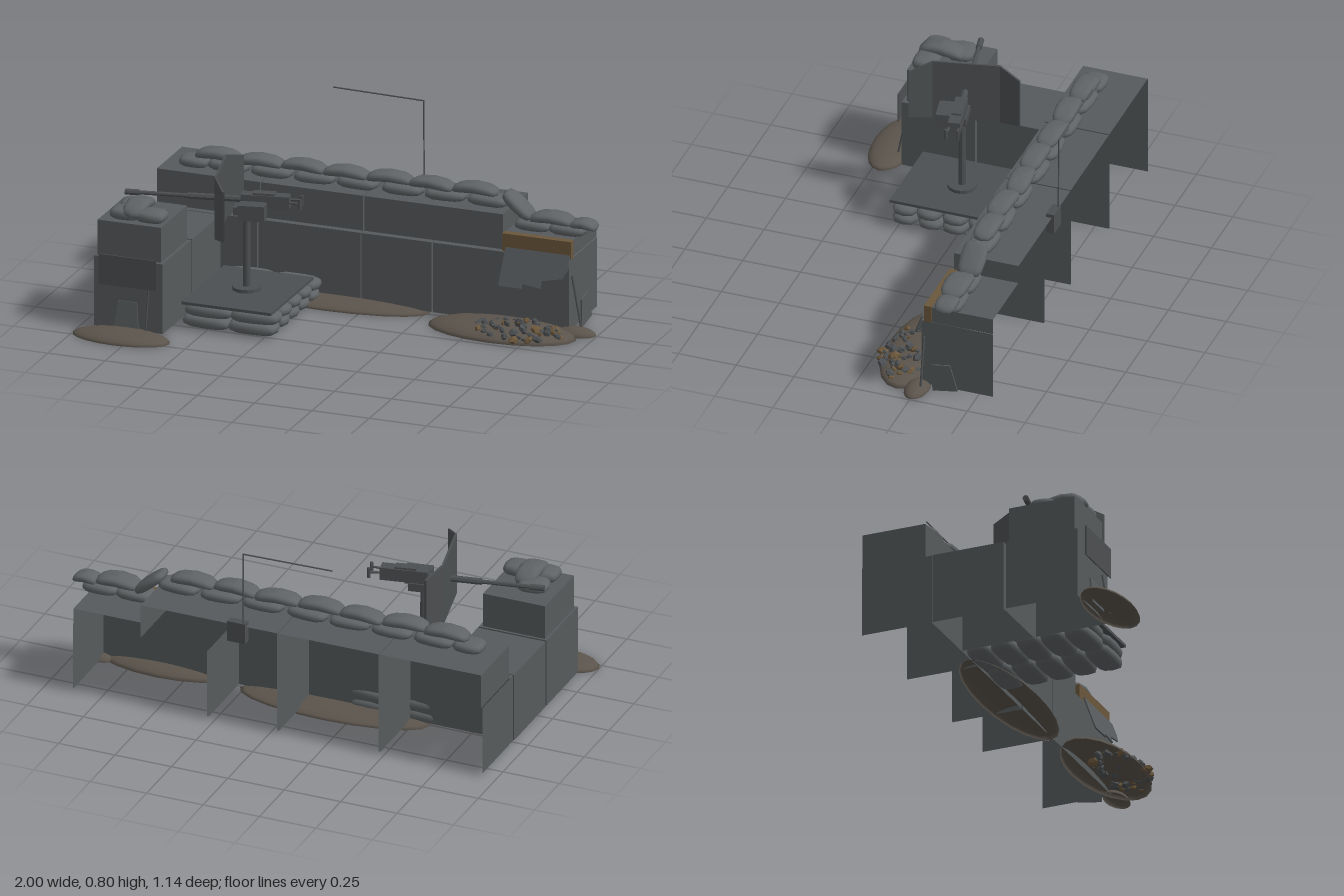
import * as THREE from 'three';

const mat = (color, flat = false) => new THREE.MeshStandardMaterial({ color, flatShading: flat, side: THREE.DoubleSide });
const concrete = mat(0x565a5c), cloth = mat(0x5f6365), metal = mat(0x4c4f51, true);
const dirt = mat(0x5b544c), broken = mat(0x6b573c, true);

let seed = 7;
const rnd = () => (seed = (seed * 16807) % 2147483647) / 2147483647;

function add(parent, name, geo, material, x = 0, y = 0, z = 0) {
  const m = new THREE.Mesh(geo, material);
  m.name = name;
  m.position.set(x, y, z);
  parent.add(m);
  return m;
}

// Box given by its limits
function block(parent, name, [x0, x1], [y0, y1], [z0, z1], material = metal) {
  return add(parent, name, new THREE.BoxGeometry(x1 - x0, y1 - y0, z1 - z0), material,
    (x0 + x1) / 2, (y0 + y1) / 2, (z0 + z1) / 2);
}

// Hollow box built of single walls; faces lists which walls exist
function shell(parent, name, [x0, x1], [y0, y1], [z0, z1], faces) {
  const g = new THREE.Group();
  g.name = name;
  const cx = (x0 + x1) / 2, cy = (y0 + y1) / 2, cz = (z0 + z1) / 2;
  const w = x1 - x0, h = y1 - y0, d = z1 - z0;
  const walls = {
    front: [w, h, cx, cy, z1, 0, 0], back: [w, h, cx, cy, z0, 0, Math.PI],
    left: [d, h, x1, cy, cz, 0, Math.PI / 2], right: [d, h, x0, cy, cz, 0, -Math.PI / 2],
    top: [w, d, cx, y1, cz, -Math.PI / 2, 0],
  };
  for (const f of faces) {
    const [a, b, x, y, z, rx, ry] = walls[f];
    add(g, f + 'Wall', new THREE.PlaneGeometry(a, b), concrete, x, y, z).rotation.set(rx, ry, 0);
  }
  parent.add(g);
}

// Pillow-shaped bag lying along x, with drooping ends
function bagGeometry(len, h, w, droop = 0) {
  const geo = new THREE.SphereGeometry(1, 12, 8);
  const p = geo.attributes.position;
  const puff = (v, e) => Math.sign(v) * Math.pow(Math.abs(v), e);
  for (let i = 0; i < p.count; i++) {
    const x = puff(p.getX(i), 0.6), y = puff(p.getY(i), 0.75), z = puff(p.getZ(i), 0.6);
    p.setXYZ(i, x * len / 2, y * h / 2 - droop * x * x, z * w / 2);
  }
  geo.computeVertexNormals();
  return geo;
}
function bag(parent, x, y, z, { len = 0.19, h = 0.05, w = 0.11, droop = 0, ry = 0, rz = 0 } = {}) {
  const m = add(parent, 'sandbag', bagGeometry(len, h, w, droop), cloth, x, y, z);
  m.rotation.set(0, ry, rz);
}

function mound(parent, x, z, rx, h, rz) {
  const geo = new THREE.SphereGeometry(1, 20, 5, 0, Math.PI * 2, 0, Math.PI / 2);
  geo.scale(rx, h, rz);
  add(parent, 'dirtMound', geo, dirt, x, 0, z);
}

function rod(parent, name, r, a, b, sides = 8) {
  const from = new THREE.Vector3(...a), to = new THREE.Vector3(...b), dir = to.clone().sub(from);
  const m = add(parent, name, new THREE.CylinderGeometry(r, r, dir.length(), sides), metal);
  m.position.copy(from).add(to).multiplyScalar(0.5);
  m.quaternion.setFromUnitVectors(new THREE.Vector3(0, 1, 0), dir.normalize());
}

function walls(root) {
  const g = new THREE.Group();
  g.name = 'walls';
  // Long wall: lower blocks, open at the back and below
  const e = 0.003, lowX = [-0.94, -0.48, -0.03, 0.28, 0.88];
  for (let i = 0; i < 4; i++) {
    const xs = [lowX[i] + e, lowX[i + 1] - e];
    shell(g, 'lowerWallBlock', xs, [0.01, 0.31], [-0.565, -0.255], ['front', 'left', 'right']);
    shell(g, 'ledge', xs, [0.3, 0.31], [-0.285, -0.255], ['top']);
  }
  // Upper blocks
  const upX = [-0.935, -0.48, -0.03, 0.58];
  for (let i = 0; i < 3; i++)
    shell(g, 'upperWallBlock', [upX[i] + e, upX[i + 1] - e], [0.31, 0.46], [-0.565, -0.285], ['front', 'left', 'right', 'top']);
  // Broken end of the upper row
  shell(g, 'brokenBlock', [0.58, 0.875], [0.31, 0.38], [-0.565, -0.285], ['left', 'top']);
  block(g, 'brokenFace', [0.58, 0.88], [0.31, 0.385], [-0.3, -0.268], broken);
  // Side wing
  const all = ['front', 'back', 'left', 'right', 'top'];
  shell(g, 'wingRearBlock', [-0.94, -0.64], [0.01, 0.31], [-0.25, 0.065], all);
  shell(g, 'wingFrontBlock', [-0.94, -0.64], [0.01, 0.31], [0.075, 0.392], all);
  shell(g, 'wingUpperBlock', [-0.93, -0.655], [0.31, 0.46], [0.085, 0.375], all);
  block(g, 'signPlate', [-0.91, -0.66], [0.2, 0.33], [0.413, 0.418]);
  // Leaning plates at the wing front and the wall end
  const trap = new THREE.Shape([[-0.055, 0], [0.055, 0], [0.04, 0.12], [-0.04, 0.12]].map(v => new THREE.Vector2(...v)));
  const plate = new THREE.ExtrudeGeometry(trap, { depth: 0.006, bevelEnabled: false });
  add(g, 'leaningPlate', plate, concrete, -0.79, 0.015, 0.415).rotation.x = -0.16;
  add(g, 'leaningPlate', plate, concrete, 0.905, 0.015, -0.37).rotation.set(0, Math.PI / 2, 0.16, 'YZX');
  rod(g, 'leaningBar', 0.004, [-0.7, 0.02, 0.43], [-0.7, 0.2, 0.396]);
  rod(g, 'leaningBar', 0.005, [0.925, 0.02, -0.27], [0.885, 0.24, -0.27]);
  // Torn sheet hanging from the broken block
  const torn = new THREE.Shape([[0.59, 0.2], [0.59, 0.17], [0.69, 0.17], [0.69, 0.19], [0.77, 0.18], [0.77, 0.21],
    [0.86, 0.23], [0.88, 0.27], [0.88, 0.33], [0.6, 0.33]].map(([x, y]) => new THREE.Vector2(x, y - 0.33)));
  add(g, 'tornSheet', new THREE.ExtrudeGeometry(torn, { depth: 0.006, bevelEnabled: false }), concrete, 0, 0.33, -0.262).rotation.x = -0.36;
  root.add(g);
}

function wallBags(root) {
  const g = new THREE.Group();
  g.name = 'wallSandbags';
  // Two courses along the long wall
  for (let i = 0; i < 7; i++)
    bag(g, -0.65 + i * 0.187 + (i > 3 ? 0.01 : 0), 0.482, -0.38, { len: 0.18, h: 0.045, ry: 0.06 * (i % 3 - 1) });
  bag(g, -0.8, 0.482, -0.38, { len: 0.13, h: 0.045 });
  for (let i = 0; i < 7; i++)
    bag(g, -0.7 + i * 0.187, 0.527, -0.38 + 0.008 * (i % 2), { len: 0.2, h: 0.04, w: 0.095, droop: 0.016, ry: 0.07 * ((i + 1) % 3 - 1) });
  // Bags falling over the step to the broken end
  bag(g, 0.61, 0.475, -0.38, { len: 0.16, h: 0.045, rz: -0.7 });
  for (const x of [0.68, 0.83]) bag(g, x, 0.403, -0.375, { len: 0.16, h: 0.045 });
  bag(g, 0.76, 0.447, -0.37, { len: 0.19, h: 0.04, droop: 0.016 });
  bag(g, 0.895, 0.435, -0.375, { len: 0.12, h: 0.035, droop: 0.016, w: 0.09 });
  // Bags on the wing
  for (const x of [-0.83, -0.72]) bag(g, x, 0.484, 0.31, { len: 0.13 });
  bag(g, -0.79, 0.515, 0.27, { len: 0.2, h: 0.045, w: 0.1, droop: 0.025, ry: Math.PI / 2 });
  bag(g, -0.83, 0.484, 0.2, { len: 0.13, h: 0.045, ry: 0.15 });
  root.add(g);
}

function platform(root) {
  const g = new THREE.Group();
  g.name = 'gunPlatform';
  block(g, 'platformBoard', [-0.6, -0.21], [0.108, 0.12], [-0.185, 0.285]);
  for (let layer = 0; layer < 2; layer++)
    for (let row = 0; row < 5; row++)
      for (let col = 0; col < 2; col++)
        bag(g, -0.505 + col * 0.2 + layer * 0.01, 0.033 + layer * 0.048, 0.228 - row * 0.109,
          { len: 0.215, h: 0.054, w: 0.112, ry: 0.05 * ((row + col + layer) % 3 - 1) });
  root.add(g);
}

function gun(root) {
  const g = new THREE.Group();
  g.name = 'mountedGun';
  add(g, 'baseFlange', new THREE.CylinderGeometry(0.06, 0.06, 0.015, 14), metal, -0.41, 0.127, 0.045);
  add(g, 'post', new THREE.CylinderGeometry(0.014, 0.016, 0.33, 10), metal, -0.41, 0.295, 0.045);
  // Gun body, barrel towards local -x
  const b = new THREE.Group();
  b.name = 'gunBody';
  b.position.set(-0.41, 0.5, 0.05);
  b.rotation.y = 0.19;
  block(b, 'cradle', [-0.05, 0.06], [-0.055, -0.02], [-0.03, 0.03]);
  block(b, 'receiver', [-0.02, 0.18], [-0.02, 0.035], [-0.025, 0.025]);
  block(b, 'ammoBox', [-0.02, 0.09], [-0.055, 0.01], [0.03, 0.09]);
  block(b, 'feedCover', [0.03, 0.12], [0.03, 0.043], [-0.02, 0.02]);
  rod(b, 'barrelJacket', 0.014, [-0.24, 0.008, 0], [-0.01, 0.008, 0]);
  rod(b, 'barrel', 0.009, [-0.49, 0.008, 0], [-0.23, 0.008, 0]);
  rod(b, 'muzzle', 0.013, [-0.5, 0.008, 0], [-0.44, 0.008, 0]);
  for (const s of [-1, 1]) {
    rod(b, 'handleArm', 0.005, [0.17, 0.01, s * 0.018], [0.225, 0.01, s * 0.025]);
    rod(b, 'grip', 0.007, [0.225, -0.015, s * 0.025], [0.225, 0.03, s * 0.025]);
  }
  g.add(b);
  // Three-panel shield: each column is x, z, bottom, top
  const cols = [[-0.515, -0.168, 0.397, 0.613], [-0.55, -0.07, 0.374, 0.643], [-0.49, 0.2, 0.374, 0.643], [-0.425, 0.28, 0.397, 0.613]];
  const pos = [], idx = [];
  for (const off of [0, 0.01])
    for (const [x, z, y0, y1] of cols) pos.push(x + off, y0, z, x + off, y1, z);
  for (let i = 0; i < 3; i++) {
    const a = i * 2, c = a + 8;
    idx.push(a, a + 2, a + 3, a, a + 3, a + 1, c, c + 3, c + 2, c, c + 1, c + 3);
    idx.push(a + 1, a + 3, c + 3, a + 1, c + 3, c + 1, a, c + 2, a + 2, a, c, c + 2);
  }
  idx.push(0, 1, 9, 0, 9, 8, 6, 15, 7, 6, 14, 15);
  const geo = new THREE.BufferGeometry();
  geo.setAttribute('position', new THREE.Float32BufferAttribute(pos, 3));
  geo.setIndex(idx);
  geo.computeVertexNormals();
  add(g, 'shield', geo, metal);
  root.add(g);
}

function ground(root) {
  const g = new THREE.Group();
  g.name = 'groundDebris';
  mound(g, -0.79, 0.47, 0.21, 0.035, 0.097);
  mound(g, -0.15, -0.26, 0.42, 0.03, 0.125);
  mound(g, 0.62, -0.17, 0.32, 0.045, 0.15);
  mound(g, 0.91, -0.25, 0.085, 0.03, 0.05);
  // Rubble scattered over the mound
  for (let i = 0; i < 65; i++) {
    const a = rnd() * Math.PI * 2, r = Math.sqrt(rnd()), s = 0.008 + rnd() * 0.014;
    const rock = add(g, 'rubble', new THREE.DodecahedronGeometry(s), i % 3 ? metal : broken,
      0.7 + Math.cos(a) * r * 0.2, 0.012 + 0.042 * (1 - r * r) + rnd() * 0.012, -0.13 + Math.sin(a) * r * 0.11);
    rock.scale.set(1.2, 0.7, 1);
    rock.rotation.set(rnd() * 3, rnd() * 3, rnd() * 3);
  }
  root.add(g);
}

function antenna(root) {
  const g = new THREE.Group();
  g.name = 'antenna';
  block(g, 'radioBox', [0.11, 0.19], [0.385, 0.475], [-0.575, -0.54]);
  rod(g, 'mast', 0.003, [0.122, 0.47, -0.568], [0.12, 0.797, -0.57], 6);
  rod(g, 'whip', 0.003, [0.12, 0.795, -0.57], [-0.275, 0.802, -0.57], 6);
  root.add(g);
}

export function createModel() {
  const root = new THREE.Group();
  root.name = 'fortifiedGunPosition';
  for (const build of [walls, wallBags, platform, gun, ground, antenna]) build(root);
  return root;
}
